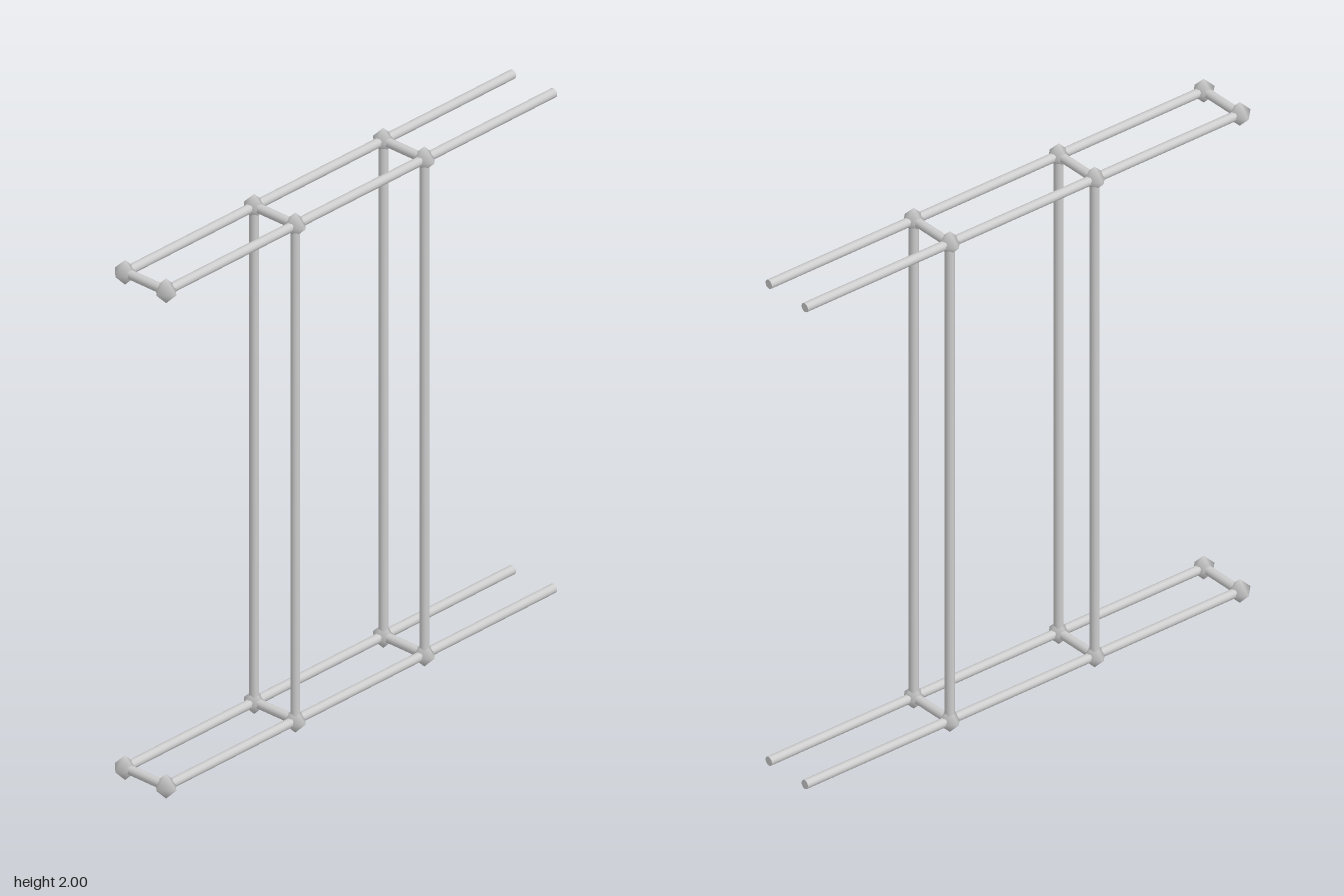
import * as THREE from 'three';

const BAY = 0.635;       // distance between joints along x
const DEPTH = 0.19;      // distance between front and back frames
const JOINT = 0.0475;    // joint tip radius
const ROD = 0.0172;      // rod radius
const X0 = -0.929;       // first joint
const HEIGHT = 3 * BAY;  // rod length between lower and upper joints

export function createModel() {
  const model = new THREE.Group();
  const material = new THREE.MeshStandardMaterial({ color: 0xcccccc });
  // smooth-shaded eight-faced joint
  const jointGeometry = new THREE.SphereGeometry(JOINT, 4, 2);

  function rod(name, from, to) {
    const a = new THREE.Vector3(...from), b = new THREE.Vector3(...to);
    const dir = b.clone().sub(a);
    const mesh = new THREE.Mesh(new THREE.CylinderGeometry(ROD, ROD, dir.length(), 12), material);
    mesh.name = name;
    mesh.position.copy(a).add(b).multiplyScalar(0.5);
    mesh.quaternion.setFromUnitVectors(new THREE.Vector3(0, 1, 0), dir.normalize());
    model.add(mesh);
  }

  const low = JOINT, high = JOINT + HEIGHT, z = DEPTH / 2;
  const columns = [0, 1, 2].map(i => X0 + i * BAY);

  for (const y of [low, high]) {
    // long rails, open at the +x end
    for (const side of [-z, z]) rod('rail', [X0, y, side], [X0 + 3 * BAY, y, side]);
    // short cross bars with a joint at each end
    for (const x of columns) {
      rod('crossBar', [x, y, -z], [x, y, z]);
      for (const side of [-z, z]) {
        const joint = new THREE.Mesh(jointGeometry, material);
        joint.name = 'joint';
        joint.position.set(x, y, side);
        model.add(joint);
      }
    }
  }

  // uprights at the two inner joints
  for (const x of columns.slice(1))
    for (const side of [-z, z]) rod('upright', [x, low, side], [x, high, side]);

  return model;
}
